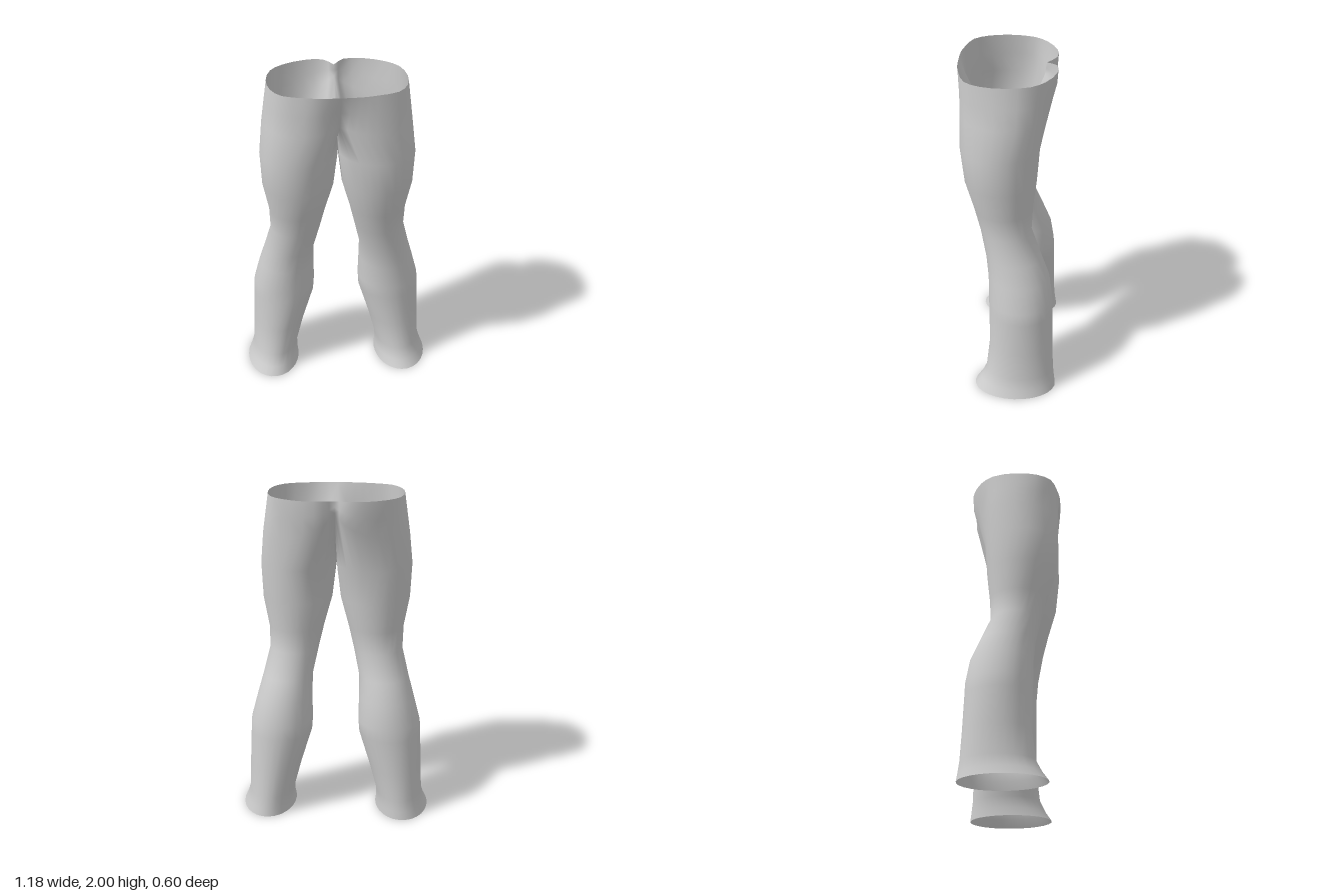
import * as THREE from 'three';
import { mergeVertices } from 'three/addons/utils/BufferGeometryUtils.js';

const OUTER = 20, INNER = 8, N = OUTER + INNER;

// Leg cross-sections: y, inner x, outer x, back z, front z
const LEG = [
  [1.57, 0.0, 0.455, -0.175, 0.282],
  [1.36, 0.025, 0.446, -0.16, 0.258],
  [1.18, 0.075, 0.412, -0.14, 0.205],
  [1.04, 0.108, 0.408, -0.133, 0.168],
  [0.88, 0.143, 0.448, -0.195, 0.135],
  [0.75, 0.145, 0.485, -0.245, 0.122],
  [0.6, 0.142, 0.525, -0.268, 0.12],
  [0.52, 0.148, 0.53, -0.27, 0.118],
  [0.3, 0.215, 0.54, -0.275, 0.115],
  [0.12, 0.262, 0.548, -0.282, 0.135],
  [0.05, 0.262, 0.568, -0.29, 0.17],
  [0, 0.256, 0.59, -0.297, 0.205],
];

// Half waist edge and hip line, from front centre round the side to back centre
const WAIST = [[0, 2, 0.3], [0.11, 2, 0.297], [0.2, 2, 0.28], [0.32, 2, 0.24], [0.38, 2, 0.15],
  [0.4, 2, 0.02], [0.372, 2, -0.12], [0.3, 2, -0.2], [0.17, 2, -0.26], [0.06, 2, -0.258], [0, 1.99, -0.2]];
const HIP = [[0, 1.78, 0.2], [0.08, 1.77, 0.255], [0.2, 1.76, 0.28], [0.33, 1.76, 0.24], [0.41, 1.76, 0.13],
  [0.435, 1.76, 0.02], [0.405, 1.76, -0.1], [0.32, 1.76, -0.165], [0.18, 1.8, -0.225], [0.06, 1.86, -0.24], [0, 1.92, -0.19]];
// Crotch seam, from back to front under the body
const CROTCH = [[0, 1.92, -0.19], [0, 1.79, -0.13], [0, 1.71, -0.02], [0, 1.72, 0.1], [0, 1.78, 0.2]];

const sample = (pts, n) =>
  new THREE.CatmullRomCurve3(pts.map((p) => new THREE.Vector3(...p))).getPoints(n);

function legRing([y, x0, x1, z0, z1]) {
  const ring = [], corner = Math.PI * 0.75;
  for (let i = 0; i < N; i++) {
    const a = i <= OUTER
      ? corner - (2 * corner * i) / OUTER
      : -corner - ((2 * Math.PI - 2 * corner) * (i - OUTER)) / INNER;
    ring.push(new THREE.Vector3(
      (x0 + x1) / 2 + ((x1 - x0) / 2) * Math.cos(a), y,
      (z0 + z1) / 2 + ((z1 - z0) / 2) * Math.sin(a)));
  }
  return ring;
}

function trouserGeometry() {
  const waist = sample(WAIST, OUTER), hip = sample(HIP, OUTER);
  const middle = waist.map((p, i) => p.clone().lerp(hip[i], 0.5));
  // Keep the seat full just below the waist
  middle.forEach((p, i) => { if (i > 14 && i < OUTER) p.z -= 0.008; });
  const seam = [...hip, ...sample(CROTCH, INNER).slice(1, INNER)];
  const rows = [waist, middle, seam, ...LEG.map(legRing)];
  const pos = [], index = [];

  for (const side of [1, -1]) {
    const start = [];
    for (const row of rows) {
      start.push(pos.length / 3);
      for (const p of row) pos.push(side * Math.max(p.x, 0), p.y, p.z);
    }
    for (let j = 0; j < rows.length - 1; j++) {
      // The hips are open arcs; the legs are closed tubes
      const count = j < 2 ? OUTER : N;
      for (let i = 0; i < count; i++) {
        const k = j < 2 ? i + 1 : (i + 1) % N;
        const a = start[j] + i, b = start[j + 1] + i, c = start[j + 1] + k, d = start[j] + k;
        if (side > 0) index.push(a, b, c, a, c, d);
        else index.push(a, c, b, a, d, c);
      }
    }
  }
  const geo = new THREE.BufferGeometry();
  geo.setAttribute('position', new THREE.Float32BufferAttribute(pos, 3));
  geo.setIndex(index);
  // Join both halves along the centre so the shading is continuous
  const merged = mergeVertices(geo, 1e-4);
  merged.computeVertexNormals();
  return merged;
}

export function createModel() {
  const group = new THREE.Group();
  group.name = 'trousers';
  const cloth = new THREE.MeshStandardMaterial({ color: 0xcccccc, side: THREE.DoubleSide });
  cloth.name = 'grey cloth';
  const mesh = new THREE.Mesh(trouserGeometry(), cloth);
  mesh.name = 'trouserLegsAndHips';
  group.add(mesh);
  return group;
}
